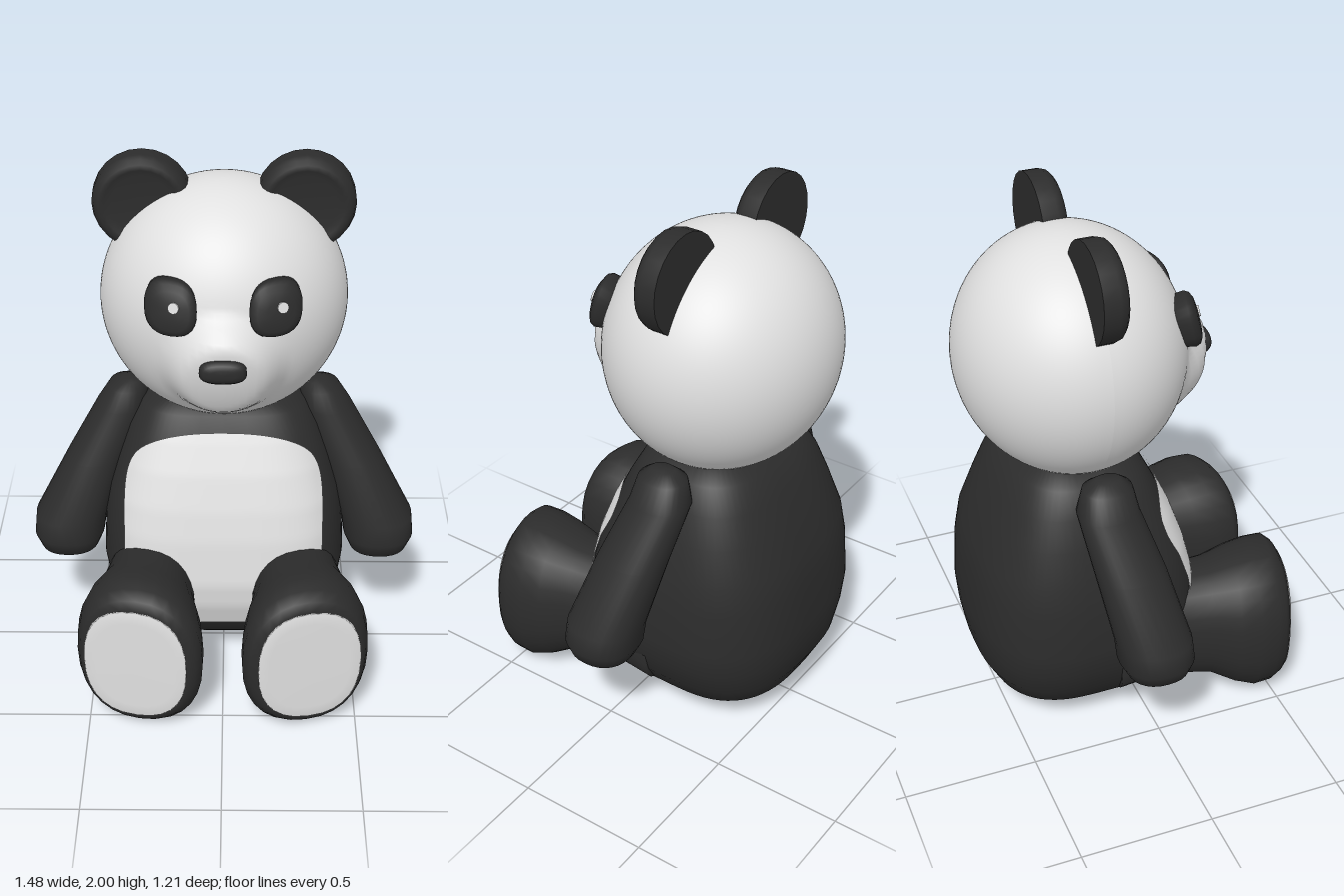
import * as THREE from 'three';

const white = new THREE.MeshStandardMaterial({ color: 0xe0e0e0 });
white.name = 'whiteFur';
const whitePatch = white;
const black = new THREE.MeshStandardMaterial({ color: 0x2c2c2c });
black.name = 'blackFur';

function mesh(name, geometry, material) {
  const m = new THREE.Mesh(geometry, material);
  m.name = name;
  return m;
}

// Rounded-square point on a unit cross-section
function superPoint(angle, n) {
  const c = Math.cos(angle), s = Math.sin(angle);
  return [Math.sign(c) * Math.abs(c) ** (2 / n), Math.sign(s) * Math.abs(s) ** (2 / n)];
}

// Skin closed rings of points, cap both ends, and turn faces outwards
function skin(rings) {
  const n = rings[0].length, pts = rings.flat(), idx = [];
  for (let r = 0; r < rings.length - 1; r++) {
    for (let i = 0; i < n; i++) {
      const a = r * n + i, b = r * n + (i + 1) % n;
      idx.push(a, b, b + n, a, b + n, a + n);
    }
  }
  [0, rings.length - 1].forEach((r, end) => {
    const centre = rings[r].reduce((a, p) => a.add(p), new THREE.Vector3()).divideScalar(n);
    const k = pts.push(centre) - 1;
    for (let i = 0; i < n; i++) {
      const a = r * n + i, b = r * n + (i + 1) % n;
      idx.push(k, end ? a : b, end ? b : a);
    }
  });
  let volume = 0;
  const cross = new THREE.Vector3();
  for (let i = 0; i < idx.length; i += 3) {
    volume += pts[idx[i]].dot(cross.crossVectors(pts[idx[i + 1]], pts[idx[i + 2]]));
  }
  if (volume < 0) idx.reverse();
  const g = new THREE.BufferGeometry().setFromPoints(pts);
  g.setIndex(idx);
  g.computeVertexNormals();
  return g;
}

// Stations are [x, y, z, halfWidth, halfDepth]; rings lie across the given axis
function loft(stations, axis, { side = 1, n = 2, shearX = 0, shearY = 0, segments = 28 } = {}) {
  const [cx, cy] = stations[0];
  return skin(stations.map(([x, y, z, a, b]) => Array.from({ length: segments }, (_, i) => {
    const [u, v] = superPoint(i / segments * Math.PI * 2, n);
    const px = x + a * u;
    if (axis === 'y') return new THREE.Vector3(side * px, y, z + b * v);
    const py = y + b * v;
    return new THREE.Vector3(side * px, py, z + shearX * (px - cx) + shearY * (py - cy));
  })));
}

// Torso rows: height, half width, back z, front z
const torso = [
  [0.055, 0.2, -0.4, 0], [0.08, 0.28, -0.46, 0.08], [0.13, 0.36, -0.53, 0.14],
  [0.22, 0.42, -0.575, 0.2], [0.32, 0.455, -0.592, 0.235], [0.42, 0.47, -0.6, 0.245],
  [0.6, 0.46, -0.59, 0.22], [0.72, 0.44, -0.57, 0.19], [0.85, 0.4, -0.52, 0.145],
  [0.96, 0.36, -0.475, 0.095], [1.05, 0.31, -0.42, 0.05], [1.1, 0.23, -0.34, 0],
];
const torsoZ = -0.2, frontPower = 3.6, backPower = 2.7;

function makeTorso() {
  return skin(torso.map(([y, w, back, front]) => Array.from({ length: 64 }, (_, i) => {
    const angle = i / 64 * Math.PI * 2, isFront = i <= 32;
    const [u, v] = superPoint(angle, isFront ? frontPower : backPower);
    return new THREE.Vector3(w * u, y, torsoZ + v * (isFront ? front - torsoZ : torsoZ - back));
  })));
}

function torsoFront(x, y) {
  const i = Math.max(1, torso.findIndex(r => r[0] >= y));
  const t = (y - torso[i - 1][0]) / (torso[i][0] - torso[i - 1][0]);
  const w = THREE.MathUtils.lerp(torso[i - 1][1], torso[i][1], t);
  const f = THREE.MathUtils.lerp(torso[i - 1][3], torso[i][3], t);
  const u = Math.min(1, Math.abs(x) / w);
  return torsoZ + (f - torsoZ) * (1 - u ** frontPower) ** (1 / frontPower);
}

// Belly patch follows the torso front, with a rounded top edge
function makeBelly() {
  const g = new THREE.PlaneGeometry(2, 1, 40, 48), p = g.attributes.position;
  for (let i = 0; i < p.count; i++) {
    const t = p.getY(i) + 0.5, y = 0.22 + 0.78 * Math.sin(t * Math.PI / 2);
    const k = Math.max(0, (y - 0.6) / 0.4);
    const w = 0.375 * Math.max(0, 1 - k ** 4.5) ** 0.4;
    const x = p.getX(i) * w;
    p.setXYZ(i, x, y, torsoFront(x, y) + 0.008);
  }
  g.computeVertexNormals();
  return g;
}

// Head: an ellipsoid whose front swells into a soft muzzle
function makeHead() {
  const g = new THREE.SphereGeometry(1, 96, 72);
  g.scale(0.455, 0.455, 0.42);
  g.translate(0, 1.455, -0.165);
  const p = g.attributes.position;
  for (let i = 0; i < p.count; i++) {
    if (p.getZ(i) < -0.1) continue;
    const d = Math.hypot(p.getX(i), (p.getY(i) - 1.34) * 0.97);
    p.setZ(i, p.getZ(i) + 0.082 * (1 - THREE.MathUtils.smoothstep(d, 0.13, 0.235)));
  }
  g.computeVertexNormals();
  return g;
}

export function createModel() {
  const panda = new THREE.Group();
  panda.name = 'sittingBear';
  panda.add(mesh('torso', makeTorso(), black));
  panda.add(mesh('bellyPatch', makeBelly(), whitePatch));
  panda.add(mesh('head', makeHead(), white));

  // Nose
  panda.add(mesh('nose', loft([
    [0, 1.398, 0.3, 0.08, 0.042], [0, 1.398, 0.345, 0.083, 0.044],
    [0, 1.398, 0.36, 0.07, 0.034], [0, 1.398, 0.366, 0.045, 0.018],
  ], 'z', { n: 2.6 }), black));

  // Ear disc profile: rounded front rim around a shallow dish, flat back
  const earProfile = [
    [0, 0.035], [0.11, 0.035], [0.135, 0.048], [0.155, 0.048], [0.172, 0.035],
    [0.18, 0.01], [0.18, -0.05], [0.18, -0.05], [0, -0.05],
  ].reverse().map(([r, h]) => new THREE.Vector2(r, h));

  for (const side of [1, -1]) {
    const label = side > 0 ? 'left' : 'right';

    const ear = mesh(label + 'Ear', new THREE.LatheGeometry(earProfile, 24), black);
    ear.rotation.x = Math.PI / 2;
    ear.position.set(side * 0.293, 1.82, -0.157);
    panda.add(ear);

    panda.add(mesh(label + 'EyePatch', loft([
      [0.182, 1.585, 0.16, 0.085, 0.088], [0.182, 1.585, 0.222, 0.092, 0.096],
      [0.182, 1.585, 0.24, 0.085, 0.088], [0.182, 1.585, 0.252, 0.065, 0.068],
      [0.182, 1.585, 0.257, 0.03, 0.03],
    ], 'z', { side, n: 2.5, shearX: -0.3, shearY: -0.25 }), black));

    // Both eye glints sit slightly to the same side
    const glint = mesh(label + 'EyeGlint', new THREE.CylinderGeometry(0.02, 0.02, 0.009, 12), white);
    glint.rotation.set(Math.PI / 2 - 0.24, 0, -side * 0.28);
    glint.position.set(side > 0 ? 0.205 : -0.17, 1.602, side > 0 ? 0.249 : 0.258);
    panda.add(glint);

    panda.add(mesh(label + 'Arm', loft([
      [0.35, 1.105, -0.15, 0.035, 0.045], [0.362, 1.08, -0.157, 0.075, 0.09],
      [0.388, 1.0, -0.165, 0.097, 0.112], [0.49, 0.8, -0.12, 0.112, 0.128],
      [0.595, 0.56, -0.072, 0.138, 0.138], [0.605, 0.48, -0.065, 0.136, 0.138],
      [0.605, 0.425, -0.06, 0.112, 0.115], [0.605, 0.392, -0.06, 0.06, 0.06],
    ], 'y', { side, n: 2.3 }), black));

    panda.add(mesh(label + 'Leg', loft([
      [0.3, 0.3, -0.1, 0.15, 0.17], [0.275, 0.33, 0.05, 0.165, 0.205],
      [0.28, 0.335, 0.15, 0.168, 0.225], [0.29, 0.33, 0.27, 0.185, 0.238],
      [0.3, 0.315, 0.37, 0.22, 0.28], [0.305, 0.305, 0.45, 0.235, 0.303],
      [0.305, 0.305, 0.52, 0.233, 0.3], [0.312, 0.304, 0.555, 0.215, 0.272],
      [0.32, 0.302, 0.573, 0.192, 0.242],
    ], 'z', { side, n: 2.25, shearX: -0.2 }), black));

    panda.add(mesh(label + 'SolePad', loft([
      [0.32, 0.302, 0.567, 0.19, 0.24], [0.32, 0.302, 0.574, 0.186, 0.235],
      [0.32, 0.302, 0.576, 0.15, 0.19],
    ], 'z', { side, n: 2.4, shearX: -0.2 }), white));
  }
  return panda;
}
